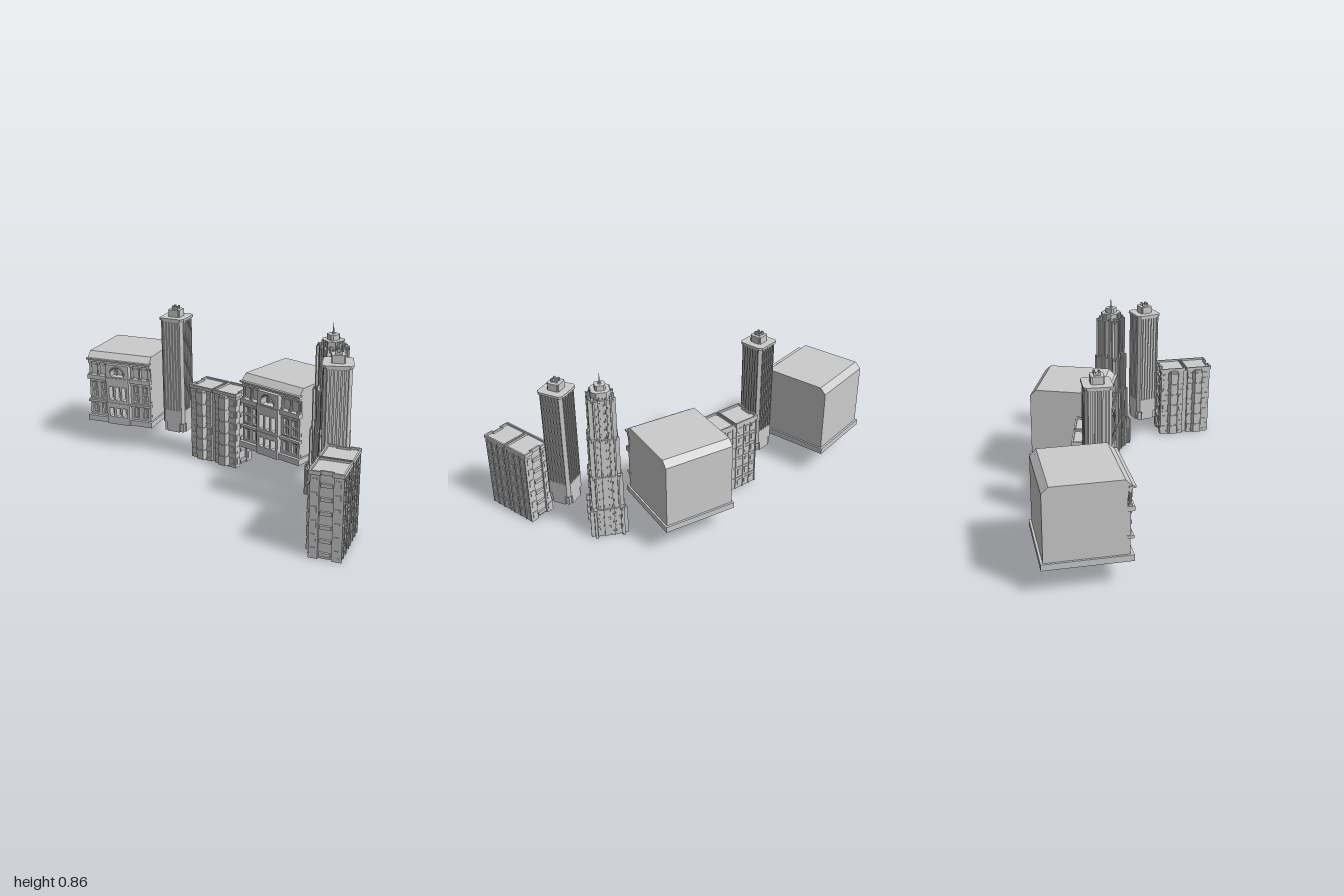
import * as THREE from 'three';

const grey = new THREE.MeshStandardMaterial({ color: 0xcccccc, flatShading: true });

function add(parent, name, geometry, x = 0, y = 0, z = 0) {
  const mesh = new THREE.Mesh(geometry, grey);
  mesh.name = name;
  mesh.position.set(x, y, z);
  parent.add(mesh);
  return mesh;
}

// Box standing on y0, reaching y1
const block = (parent, name, w, d, y0, y1, x = 0, z = 0) =>
  add(parent, name, new THREE.BoxGeometry(w, y1 - y0, d), x, (y0 + y1) / 2, z);

// Upright prism from a plan of [x, z] points
function prism(parent, name, plan, y0, y1, x = 0, z = 0) {
  const shape = new THREE.Shape(plan.map(([px, pz]) => new THREE.Vector2(px, -pz)));
  const geo = new THREE.ExtrudeGeometry(shape, { depth: y1 - y0, bevelEnabled: false });
  geo.rotateX(-Math.PI / 2);
  return add(parent, name, geo, x, y0, z);
}

// Repeats the points of one side four times around the centre
function fourSided(side) {
  const plan = [];
  for (let k = 0; k < 4; k++) {
    for (const [x, z] of side) {
      const c = [1, 0, -1, 0][k], s = [0, 1, 0, -1][k];
      plan.push([x * c + z * s, -x * s + z * c]);
    }
  }
  return plan;
}

// One side with grooves; the corner is cut off, or stepped in when notch is set
function groovedSide(half, cut, grooves, width, depth, notch = false) {
  const run = half - cut, side = [];
  if (notch) side.push([-run, run]);
  side.push([-run, half]);
  for (let i = 0; i < grooves; i++) {
    const u = -run + (2 * run * (i + 0.5)) / grooves, w = width / 2;
    side.push([u - w, half], [u - w, half - depth], [u + w, half - depth], [u + w, half]);
  }
  side.push([run, half]);
  return side;
}

function building(parent, name, x, z, degrees) {
  const g = new THREE.Group();
  g.name = name;
  g.position.set(x, 0, z);
  g.rotation.y = THREE.MathUtils.degToRad(degrees);
  parent.add(g);
  return g;
}

// Rectangular opening, optionally with a round head
function opening(x, y, w, h, arched = false) {
  const p = new THREE.Path();
  p.moveTo(x - w / 2, y);
  p.lineTo(x + w / 2, y);
  p.lineTo(x + w / 2, y + h);
  if (arched) p.absarc(x, y + h, w / 2, 0, Math.PI, false);
  else p.lineTo(x - w / 2, y + h);
  p.closePath();
  return p;
}

// Wide hall with a sloped roof and an ornate front
function hall(g) {
  const profile = [[-0.187, 0.14], [-0.187, 0.48], [-0.157, 0.51], [0.157, 0.51],
    [0.187, 0.48], [0.187, 0.458], [0.168, 0.458], [0.168, 0.14]];
  const shape = new THREE.Shape(profile.map(([z, y]) => new THREE.Vector2(-z, y)));
  const body = new THREE.ExtrudeGeometry(shape, { depth: 0.355, bevelEnabled: false });
  body.translate(0, 0, -0.1775).rotateY(Math.PI / 2);
  add(g, 'hallBody', body);
  block(g, 'plinth', 0.373, 0.395, 0.13, 0.16);

  // Storey bands and cornice
  for (const [y0, y1, z] of [[0.237, 0.25, 0.18], [0.365, 0.388, 0.182], [0.472, 0.48, 0.186]])
    block(g, 'storeyBand', 0.363, 0.03, y0, y1, 0, z);

  // Window wall of each wing, with columns above
  for (const s of [-1, 1]) {
    const wall = new THREE.Shape([[-0.056, 0.16], [0.056, 0.16], [0.056, 0.365], [-0.056, 0.365]]
      .map(([x, y]) => new THREE.Vector2(x, y)));
    for (const x of [-0.026, 0.026])
      for (const [y, h] of [[0.172, 0.054], [0.263, 0.035], [0.308, 0.036]])
        wall.holes.push(opening(x, y, 0.03, h));
    add(g, 'wingWall', new THREE.ExtrudeGeometry(wall, { depth: 0.014, bevelEnabled: false }), s * 0.121, 0, 0.167);
    for (const x of [-0.026, 0.026]) {
      block(g, 'mullion', 0.003, 0.008, 0.172, 0.346, s * 0.121 + x, 0.17);
      block(g, 'windowHead', 0.036, 0.01, 0.346, 0.35, s * 0.121 + x, 0.182);
      block(g, 'windowSill', 0.036, 0.01, 0.258, 0.262, s * 0.121 + x, 0.182);
      block(g, 'windowFrame', 0.03, 0.008, 0.403, 0.44, s * 0.121 + x, 0.169);
    }
    for (const x of [0.072, 0.121, 0.17]) {
      add(g, 'column', new THREE.CylinderGeometry(0.006, 0.007, 0.06, 10), s * x, 0.422, 0.178);
      block(g, 'columnCapital', 0.016, 0.016, 0.45, 0.458, s * x, 0.178);
      block(g, 'columnBase', 0.017, 0.017, 0.388, 0.395, s * x, 0.178);
    }
  }

  // Projecting middle bay with its great arch
  const bay = new THREE.Shape([[-0.065, 0.13], [0.065, 0.13], [0.065, 0.46], [-0.065, 0.46]]
    .map(([x, y]) => new THREE.Vector2(x, y)));
  bay.holes.push(opening(0, 0.395, 0.075, 0.012, true));
  for (const x of [-0.037, 0, 0.037])
    bay.holes.push(opening(x, 0.172, 0.026, 0.05), opening(x, 0.265, 0.026, 0.075));
  add(g, 'middleBay', new THREE.ExtrudeGeometry(bay, { depth: 0.044, bevelEnabled: false, curveSegments: 12 }), 0, 0, 0.164);
  add(g, 'archMoulding', new THREE.TorusGeometry(0.041, 0.004, 6, 16, Math.PI), 0, 0.407, 0.208);
  for (const [y0, y1] of [[0.237, 0.25], [0.365, 0.388]])
    block(g, 'bayBand', 0.134, 0.02, y0, y1, 0, 0.202);
  for (const x of [-0.018, 0.018]) block(g, 'archMullion', 0.004, 0.01, 0.39, 0.44, x, 0.175);
}

// Slender fluted tower
function tower(g) {
  block(g, 'towerFoot', 0.106, 0.106, 0.13, 0.19);
  block(g, 'towerPorch', 0.122, 0.07, 0.13, 0.18);
  block(g, 'towerPorch', 0.07, 0.122, 0.13, 0.18);
  const plain = fourSided(groovedSide(0.062, 0.014, 0));
  prism(g, 'lowerShaft', plain, 0.178, 0.25);
  prism(g, 'flutedShaft', fourSided(groovedSide(0.062, 0.014, 6, 0.008, 0.006)), 0.25, 0.72);
  prism(g, 'shaftHead', plain, 0.72, 0.728);
  prism(g, 'cap', fourSided(groovedSide(0.067, 0.014, 0)), 0.727, 0.739);
  prism(g, 'roofHouse', fourSided(groovedSide(0.031, 0.006, 0, 0, 0, true)), 0.739, 0.775);
  block(g, 'roofBlock', 0.024, 0.024, 0.775, 0.782);
  for (const x of [-0.011, 0.011])
    for (const z of [-0.011, 0.011]) block(g, 'roofPost', 0.009, 0.009, 0.775, 0.792, x, z);
}

// Stepped skyscraper with piers and a spire
function skyscraper(g) {
  const tiers = [[0, 0.155, 0.078], [0.155, 0.335, 0.071], [0.335, 0.535, 0.064], [0.535, 0.74, 0.057]];
  tiers.forEach(([y0, y1, h], i) => {
    prism(g, 'tier', fourSided(groovedSide(h, 0.014, 5, 0.011, 0.005, true)), y0, y1);
    block(g, 'tierLedge', 2 * h - 0.01, 2 * h - 0.01, y1 - 0.01, y1);
    // Tall piers on each face, the inner pair rising past the setback
    for (let k = 0; k < 4; k++) {
      const face = new THREE.Group();
      face.name = 'facePiers';
      face.rotation.y = k * Math.PI / 2;
      g.add(face);
      for (const s of [-1, 1]) {
        block(face, 'outerPier', 0.008, 0.012, y0, y1 + 0.004, s * (h - 0.018), h);
        block(face, 'innerPier', 0.007, 0.01, y0, y1 + (i < 3 ? 0.025 : 0.012), s * h * 0.28, h - 0.001);
      }
      if (i === 0) {
        for (const y of [0.05, 0.1]) block(face, 'baseBand', 0.12, 0.004, y, y + 0.006, 0, h - 0.003);
        block(face, 'cornerButtress', 0.012, 0.024, 0, 0.15, h - 0.012, h);
        block(face, 'cornerButtress', 0.012, 0.024, 0, 0.15, 0.012 - h, h);
      }
    }
  });
  for (const x of [-0.042, 0.042])
    for (const z of [-0.042, 0.042]) block(g, 'cornerTurret', 0.012, 0.012, 0.735, 0.755, x, z);
  prism(g, 'crown', fourSided(groovedSide(0.047, 0.024, 3, 0.008, 0.005)), 0.74, 0.775);
  prism(g, 'crownCap', fourSided(groovedSide(0.024, 0.008, 0)), 0.775, 0.8);
  add(g, 'spireFoot', new THREE.CylinderGeometry(0.004, 0.008, 0.012, 8), 0, 0.806, 0);
  add(g, 'spire', new THREE.ConeGeometry(0.004, 0.052, 8), 0, 0.834, 0);
}

// Six-storey apartment block with stacked bay windows
function apartments(g) {
  const plan = [[-0.14, 0.07], [-0.012, 0.07], [-0.012, 0.058], [0.012, 0.058], [0.012, 0.07], [0.14, 0.07],
    [0.14, 0.03], [0.13, 0.03], [0.13, -0.03], [0.14, -0.03], [0.14, -0.07],
    [-0.14, -0.07], [-0.14, -0.03], [-0.13, -0.03], [-0.13, 0.03], [-0.14, 0.03]];
  prism(g, 'apartmentBody', plan, 0, 0.39);
  // Raised roof edge, parted in the middle
  for (const s of [-1, 1]) {
    for (const z of [-0.072, 0.072]) block(g, 'parapet', 0.14, 0.008, 0.382, 0.4, s * 0.074, z);
    block(g, 'parapet', 0.008, 0.05, 0.382, 0.4, s * 0.142, 0.05);
    block(g, 'parapet', 0.008, 0.05, 0.382, 0.4, s * 0.142, -0.05);
    block(g, 'parapet', 0.008, 0.06, 0.382, 0.4, s * 0.131, 0);
    block(g, 'roofDivider', 0.004, 0.14, 0.385, 0.4, s * 0.006, 0);
    for (const x of [0.012, 0.06, 0.1, 0.138]) block(g, 'backPilaster', 0.005, 0.006, 0, 0.385, s * x, -0.071);
  }
  const bay = [[-0.03, 0], [-0.02, 0.025], [0.02, 0.025], [0.03, 0]];
  for (let i = 0; i < 6; i++) {
    const y = 0.008 + i * 0.063;
    block(g, 'backCourse', 0.28, 0.004, y + 0.053, y + 0.058, 0, -0.071);
    for (const s of [-1, 1]) {
      prism(g, 'bayWindow', bay, y, y + 0.05, s * 0.07, 0.069);
      prism(g, 'bayNeck', bay.map(([x, z]) => [x * 0.85, z * 0.8]), y + 0.05, y + 0.063, s * 0.07, 0.069);
      for (const x of [0.026, 0.118]) {
        block(g, 'frontWindow', 0.022, 0.006, y + 0.012, y + 0.044, s * x, 0.07);
        block(g, 'frontSill', 0.028, 0.01, y + 0.007, y + 0.012, s * x, 0.07);
      }
      for (const x of [0.036, 0.08, 0.119]) block(g, 'backWindow', 0.02, 0.005, y + 0.01, y + 0.042, s * x, -0.07);
      for (const z of [-0.05, 0.05]) block(g, 'endWindow', 0.006, 0.022, y + 0.01, y + 0.044, s * 0.14, z);
      block(g, 'endBalcony', 0.014, 0.05, y + 0.006, y + 0.022, s * 0.133, 0);
    }
  }
}

export function createModel() {
  const model = new THREE.Group();
  model.name = 'cityRow';
  hall(building(model, 'backHall', -0.17, -0.735, -58.6));
  tower(building(model, 'backTower', -0.122, -0.393, -62));
  apartments(building(model, 'backApartments', -0.006, -0.178, -73));
  hall(building(model, 'middleHall', 0.202, 0.145, -79.3));
  skyscraper(building(model, 'skyscraper', 0.122, 0.49, -97.4));
  tower(building(model, 'frontTower', -0.01, 0.66, -135));
  apartments(building(model, 'frontApartments', -0.188, 0.845, -149));
  return model;
}
